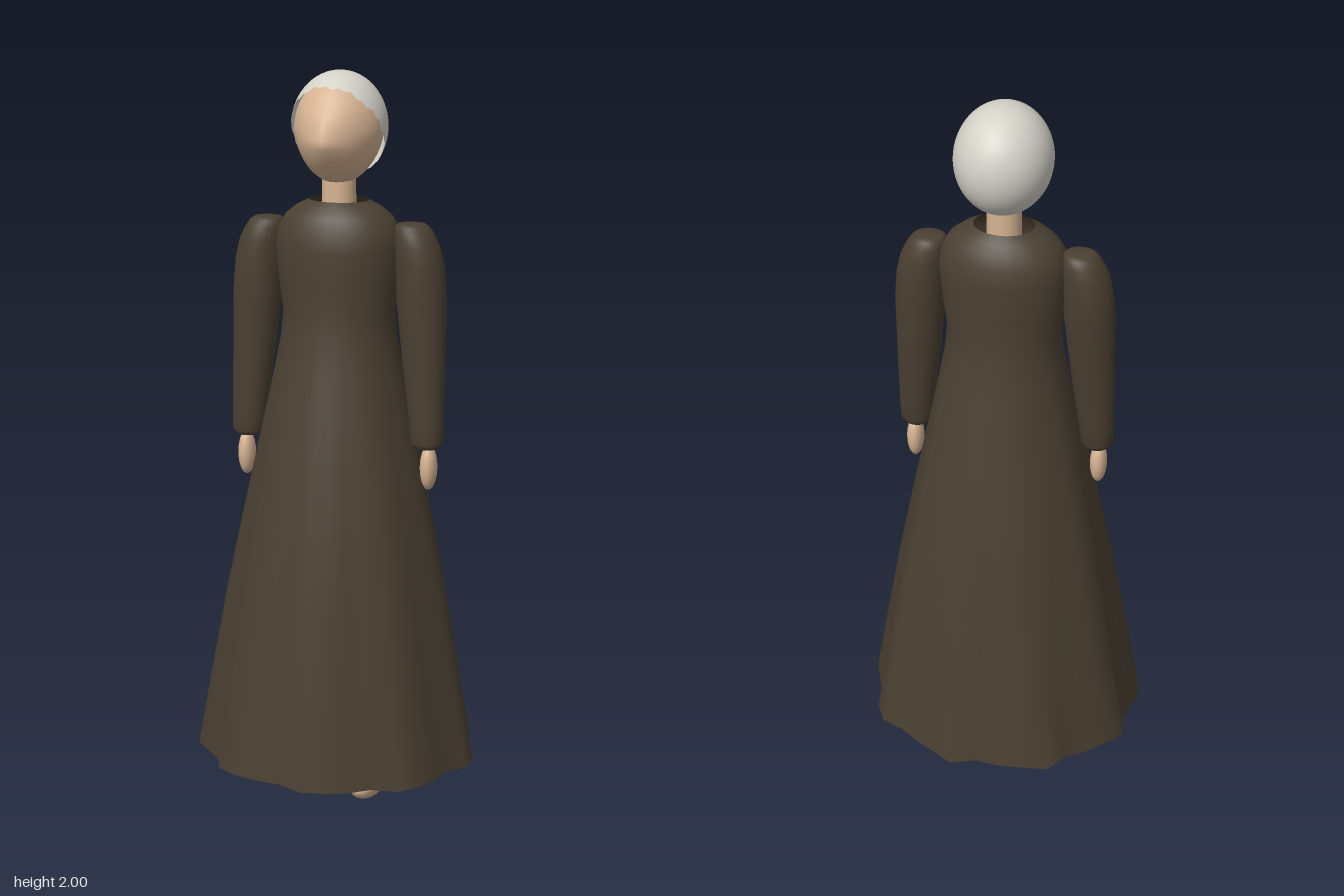
import * as THREE from 'three';
import { mergeVertices } from 'three/addons/utils/BufferGeometryUtils.js';

const material = (name, color, side = THREE.FrontSide) => {
  const m = new THREE.MeshStandardMaterial({ color, side });
  m.name = name;
  return m;
};

// Skin joining rings of equal point count, listed bottom to top, anticlockwise from above
function loft(rings, closed) {
  const n = rings[0].length, pos = [], index = [];
  rings.forEach(r => r.forEach(p => pos.push(...p)));
  for (let j = 0; j < rings.length - 1; j++)
    for (let i = 0; i < n; i++) {
      const a = j * n + i, b = j * n + (i + 1) % n;
      index.push(a, b, a + n, b, b + n, a + n);
    }
  if (closed) {
    [rings[0], rings[rings.length - 1]].forEach((ring, end) => {
      const c = pos.length / 3, base = end ? (rings.length - 1) * n : 0;
      const mid = [0, 1, 2].map(k => ring.reduce((s, p) => s + p[k], 0) / n);
      pos.push(...mid);
      for (let i = 0; i < n; i++) {
        const a = base + i, b = base + (i + 1) % n;
        end ? index.push(c, a, b) : index.push(c, b, a);
      }
    });
  }
  const g = new THREE.BufferGeometry();
  g.setAttribute('position', new THREE.Float32BufferAttribute(pos, 3));
  g.setIndex(index);
  g.computeVertexNormals();
  return g;
}

// Moves every vertex by a rule, then welds and re-smooths
function reshape(geometry, rule) {
  geometry.deleteAttribute('uv');
  geometry.deleteAttribute('normal');
  const p = geometry.attributes.position, v = new THREE.Vector3();
  for (let i = 0; i < p.count; i++) {
    rule(v.fromBufferAttribute(p, i));
    p.setXYZ(i, v.x, v.y, v.z);
  }
  const g = mergeVertices(geometry, 1e-5);
  g.computeVertexNormals();
  return g;
}

// Uneven folded hem outline [x, z]
const HEM = [
  [0, .353], [.065, .34], [.125, .318], [.175, .28], [.25, .27], [.295, .22], [.325, .165], [.337, .11],
  [.383, .06], [.387, 0], [.365, -.055], [.34, -.115], [.332, -.175], [.3, -.232], [.235, -.257], [.18, -.295],
  [.12, -.327], [.065, -.357], [0, -.33], [-.07, -.335], [-.13, -.327], [-.205, -.315], [-.24, -.255],
  [-.29, -.22], [-.335, -.175], [-.378, -.125], [-.367, -.06], [-.377, 0], [-.387, .06], [-.375, .12],
  [-.33, .165], [-.285, .21], [-.257, .27], [-.2, .3], [-.13, .317], [-.065, .32],
];

function dressGeometry() {
  // y, half width, half depth, strength of folds
  const rows = [
    [.125, .375, .345, 1], [.35, .338, .312, .9], [.6, .295, .274, .75], [.8, .257, .24, .55],
    [1, .217, .2, .35], [1.2, .176, .155, .12], [1.3, .157, .136, .03], [1.37, .151, .128, 0],
    [1.45, .163, .126, 0], [1.54, .172, .127, 0], [1.59, .166, .117, 0], [1.625, .144, .101, 0],
    [1.648, .115, .083, 0], [1.665, .08, .063, 0],
  ];
  return loft(rows.map(([y, rx, rz, fold]) => HEM.map(([hx, hz]) => {
    const a = Math.atan2(hx / .375, hz / .345);
    const ex = Math.sin(a) * rx, ez = Math.cos(a) * rz;
    return [
      THREE.MathUtils.lerp(ex, hx * rx / .375, fold), y,
      THREE.MathUtils.lerp(ez, hz * rz / .345, fold),
    ];
  })));
}

function sleeveGeometry(side) {
  // y, centre x, centre z, half width, half depth
  const rows = [
    [1.015, .251, .022, .034, .033], [1.03, .251, .022, .044, .043], [1.08, .249, .018, .047, .045],
    [1.25, .237, .009, .058, .055], [1.42, .227, .002, .067, .064], [1.5, .222, 0, .065, .064],
    [1.55, .214, 0, .061, .061], [1.585, .205, 0, .053, .053], [1.603, .2, 0, .045, .042],
    [1.61, .198, 0, .036, .03],
  ];
  return loft(rows.map(([y, cx, cz, rx, rz]) => Array.from({ length: 28 }, (_, i) => {
    const a = i / 28 * Math.PI * 2;
    return [side * cx + Math.sin(a) * rx, y, cz + Math.cos(a) * rz];
  })), true);
}

// Head with the face drawn forward to a soft point
function headGeometry() {
  return reshape(new THREE.SphereGeometry(1, 48, 36), v => {
    const taper = v.y < 0 ? 1 + .12 * v.y : 1;
    v.set(v.x * .117 * taper, 1.848 + v.y * .142, v.z * .125);
    if (v.z > 0) v.z += .032 * Math.max(0, 1 - Math.abs(v.x) / .09) * Math.max(0, 1 - Math.abs(v.y - 1.822) / .1);
  });
}

// Tilted cap of hair with a ragged edge
function hairGeometry() {
  const edge = 1.74;
  const cap = new THREE.SphereGeometry(1, 96, 24, 0, Math.PI * 2, 0, edge);
  const tilt = new THREE.Vector3(1, 0, 0);
  return reshape(cap, v => {
    const theta = Math.acos(THREE.MathUtils.clamp(v.y, -1, 1)), phi = Math.atan2(v.x, v.z);
    const ragged = .025 * Math.sin(phi * 23) + .02 * Math.sin(phi * 9 + 1) + .03 * Math.sin(phi * 2);
    const t = theta + ragged * (theta / edge) ** 6;
    v.set(Math.sin(t) * Math.sin(phi), Math.cos(t), Math.sin(t) * Math.cos(phi));
    v.applyAxisAngle(tilt, -1.024);
    v.set(v.x * .126, 1.855 + v.y * .145, -.005 + v.z * .14);
  });
}

export function createModel() {
  const cloth = material('dark brown cloth', 0x4a4032, THREE.DoubleSide);
  const skin = material('skin', 0xd6b393);
  const grey = material('grey hair', 0xd4d1c8, THREE.DoubleSide);

  const model = new THREE.Group();
  model.name = 'woman in long dress';
  const add = (name, geometry, mat, x = 0, y = 0, z = 0) => {
    const mesh = new THREE.Mesh(geometry, mat);
    mesh.name = name;
    mesh.position.set(x, y, z);
    model.add(mesh);
    return mesh;
  };

  add('dress', dressGeometry(), cloth);
  add('neck', new THREE.CylinderGeometry(.044, .046, .18, 28), skin, 0, 1.67, 0);
  add('head', headGeometry(), skin);
  add('hair', hairGeometry(), grey);

  // Limbs on both sides
  for (const [label, s] of [['left', 1], ['right', -1]]) {
    add(label + 'Sleeve', sleeveGeometry(s), cloth);
    add(label + 'Hand', new THREE.SphereGeometry(1, 24, 18), skin, s * .257, .96, .022).scale.set(.023, .062, .032);
    add(label + 'Leg', new THREE.CylinderGeometry(.065, .036, .75, 28), skin, s * .098, .425, 0);
    add(label + 'Foot', new THREE.SphereGeometry(1, 28, 20), skin, s * .098, .046, .034).scale.set(.05, .046, .108);
  }
  return model;
}
